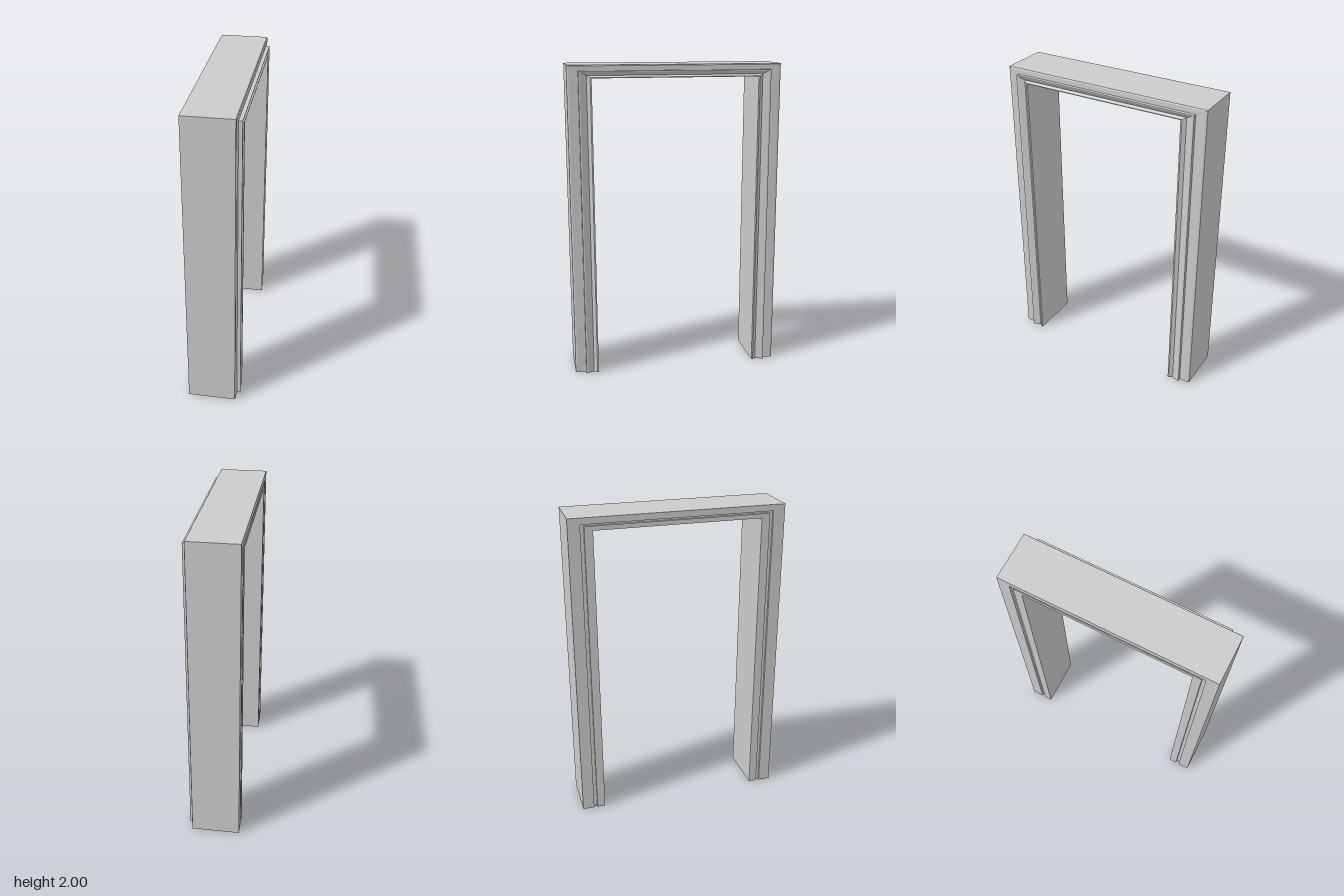
import * as THREE from 'three';

const HALF = 0.675, TOP = 2, POST = 0.15, LINTEL = 0.08;

// Sweeps a cross-section up one post, across the lintel and down the other post with mitred corners.
// Each section point is [t, x]: t = 0 at the outer edge, 1 at the opening; x is the depth.
function sweepPortal(section) {
  const stations = [[1, 0], [1, 1], [-1, 1], [-1, 0]]; // [side, raised]
  const point = (s, i) => {
    const [t, x] = section[i % section.length];
    const [side, raised] = stations[s];
    return [x, raised * (TOP - LINTEL * t), side * (HALF - POST * t)];
  };
  const pos = [];
  for (let s = 0; s < 3; s++) {
    for (let i = 0; i < section.length; i++) {
      const a = point(s, i), b = point(s, i + 1), c = point(s + 1, i + 1), d = point(s + 1, i);
      pos.push(...a, ...b, ...c, ...a, ...c, ...d);
    }
  }
  // Feet
  const n = section.length;
  const contour = section.map(([t, x]) => new THREE.Vector2(t, x)).reverse();
  for (const [i, j, k] of THREE.ShapeUtils.triangulateShape(contour, [])) {
    const [p, q, r] = [n - 1 - i, n - 1 - j, n - 1 - k];
    pos.push(...point(0, p), ...point(0, q), ...point(0, r));
    pos.push(...point(3, p), ...point(3, r), ...point(3, q));
  }
  const geometry = new THREE.BufferGeometry();
  geometry.setAttribute('position', new THREE.Float32BufferAttribute(pos, 3));
  geometry.computeVertexNormals();
  return geometry;
}

export function createModel() {
  const group = new THREE.Group();
  group.name = 'doorFrame';
  const material = new THREE.MeshStandardMaterial({ color: 0xcccccc, flatShading: true });
  const add = (name, section) => {
    const mesh = new THREE.Mesh(sweepPortal(section), material);
    mesh.name = name;
    group.add(mesh);
  };

  // Deep jamb and lintel, with a narrow groove around the rear face
  add('jamb', [
    [0, -0.167], [0, 0.138], [0.08, 0.142], [1, 0.142], [1, -0.167],
    [0.65, -0.167], [0.65, -0.152], [0.5, -0.152], [0.5, -0.167],
  ]);

  // Raised moulding around the opening, with a shallow V channel
  add('moulding', [
    [0.46, 0.141], [0.46, 0.165], [0.53, 0.165], [0.8, 0.149],
    [0.94, 0.165], [1, 0.165], [1, 0.141],
  ]);

  return group;
}
